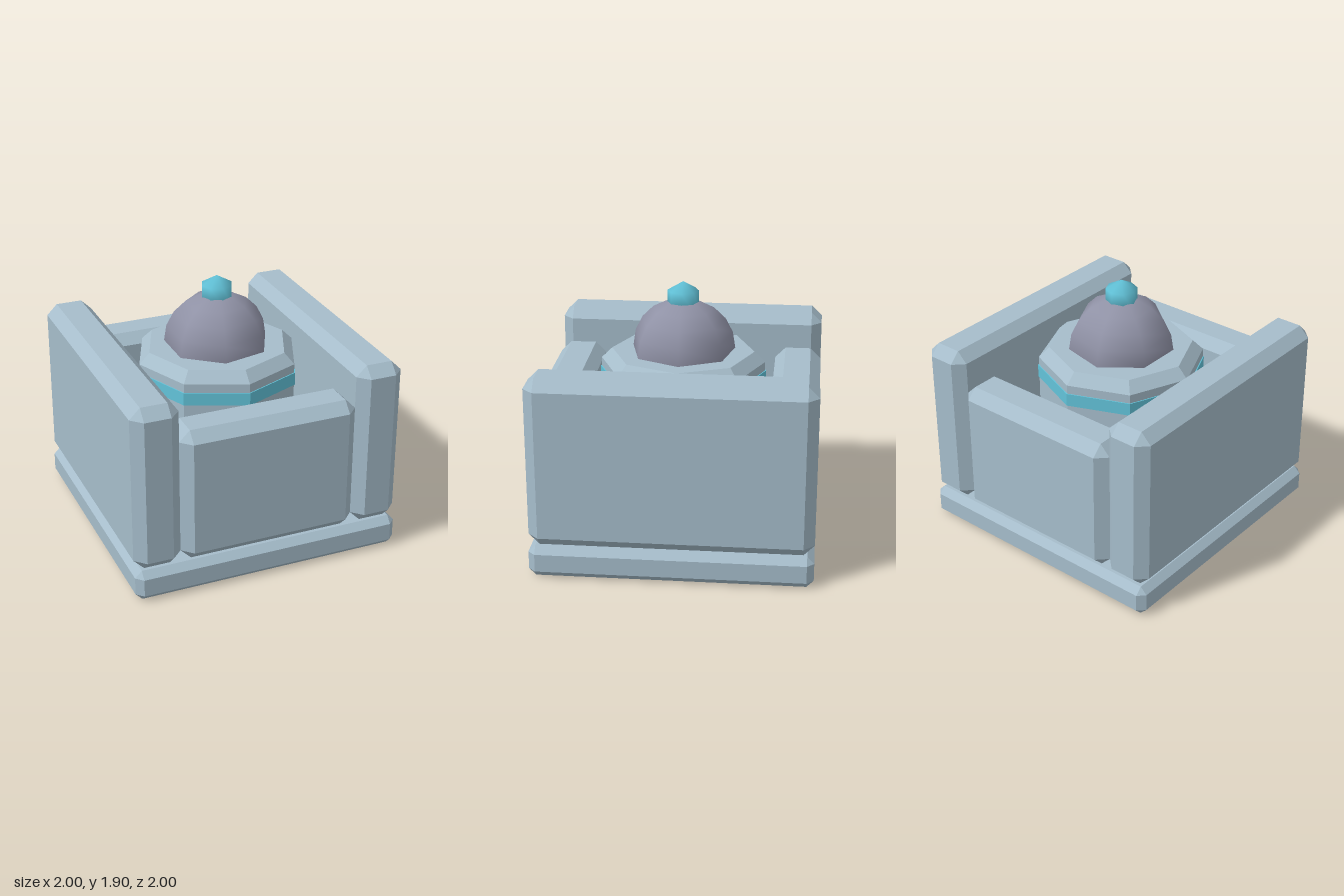
import * as THREE from 'three';
import { ConvexGeometry } from 'three/addons/geometries/ConvexGeometry.js';

// Box with every edge cut by a flat chamfer c
function chamferBox(w, h, d, c) {
  const [x, y, z] = [w / 2, h / 2, d / 2];
  const points = [];
  for (const sx of [-1, 1]) for (const sy of [-1, 1]) for (const sz of [-1, 1]) {
    points.push(
      new THREE.Vector3(sx * x, sy * (y - c), sz * (z - c)),
      new THREE.Vector3(sx * (x - c), sy * y, sz * (z - c)),
      new THREE.Vector3(sx * (x - c), sy * (y - c), sz * z));
  }
  return new ConvexGeometry(points);
}

// Eight-sided prism from a [radius, y] profile, with flat faces
function octagon(profile) {
  const lathe = new THREE.LatheGeometry(profile.map(([r, y]) => new THREE.Vector2(r, y)), 8);
  const flat = lathe.toNonIndexed();
  flat.computeVertexNormals();
  return flat;
}

export function createModel() {
  const model = new THREE.Group();
  const material = (name, color) => {
    const m = new THREE.MeshStandardMaterial({ color });
    m.name = name;
    return m;
  };
  const stone = material('paleBlueStone', 0xa6bdcb);
  const slate = material('greyViolet', 0x9092a6);
  const teal = material('teal', 0x62c3d9);

  const add = (name, geometry, mat, x, y, z) => {
    const mesh = new THREE.Mesh(geometry, mat);
    mesh.name = name;
    mesh.position.set(x, y, z);
    model.add(mesh);
    return mesh;
  };

  // Base slab
  add('base', chamferBox(2, 0.23, 2, 0.05), stone, 0, 0.115, 0);

  // Tall side walls, lower front and back walls
  const sideWall = chamferBox(0.345, 1.235, 2, 0.077);
  const endWall = chamferBox(1.31, 1.0, 0.345, 0.077);
  for (const s of [1, -1]) {
    add(s > 0 ? 'leftWall' : 'rightWall', sideWall, stone, s * 0.8275, 0.8475, 0);
    add(s > 0 ? 'frontWall' : 'backWall', endWall, stone, 0, 0.73, s * 0.8275);
  }

  // Central pedestal with a teal band
  add('pedestal', octagon([[0, 0.23], [0.52, 0.23], [0.598, 0.31], [0.598, 1.31], [0.52, 1.387], [0, 1.387]]),
    stone, 0, 0, 0);
  add('band', octagon([[0.59, 1.15], [0.606, 1.15], [0.606, 1.245], [0.59, 1.245]]), teal, 0, 0, 0);

  // Seven-sided dome, one corner towards +x
  const dome = add('dome', new THREE.SphereGeometry(0.384, 7, 5, 0, Math.PI * 2, 0, Math.PI / 2),
    slate, 0, 1.387, 0);
  dome.rotation.y = Math.PI;

  // Knob on top
  add('knob', new THREE.SphereGeometry(0.131, 8, 3), teal, 0, 1.771, 0);

  return model;
}
